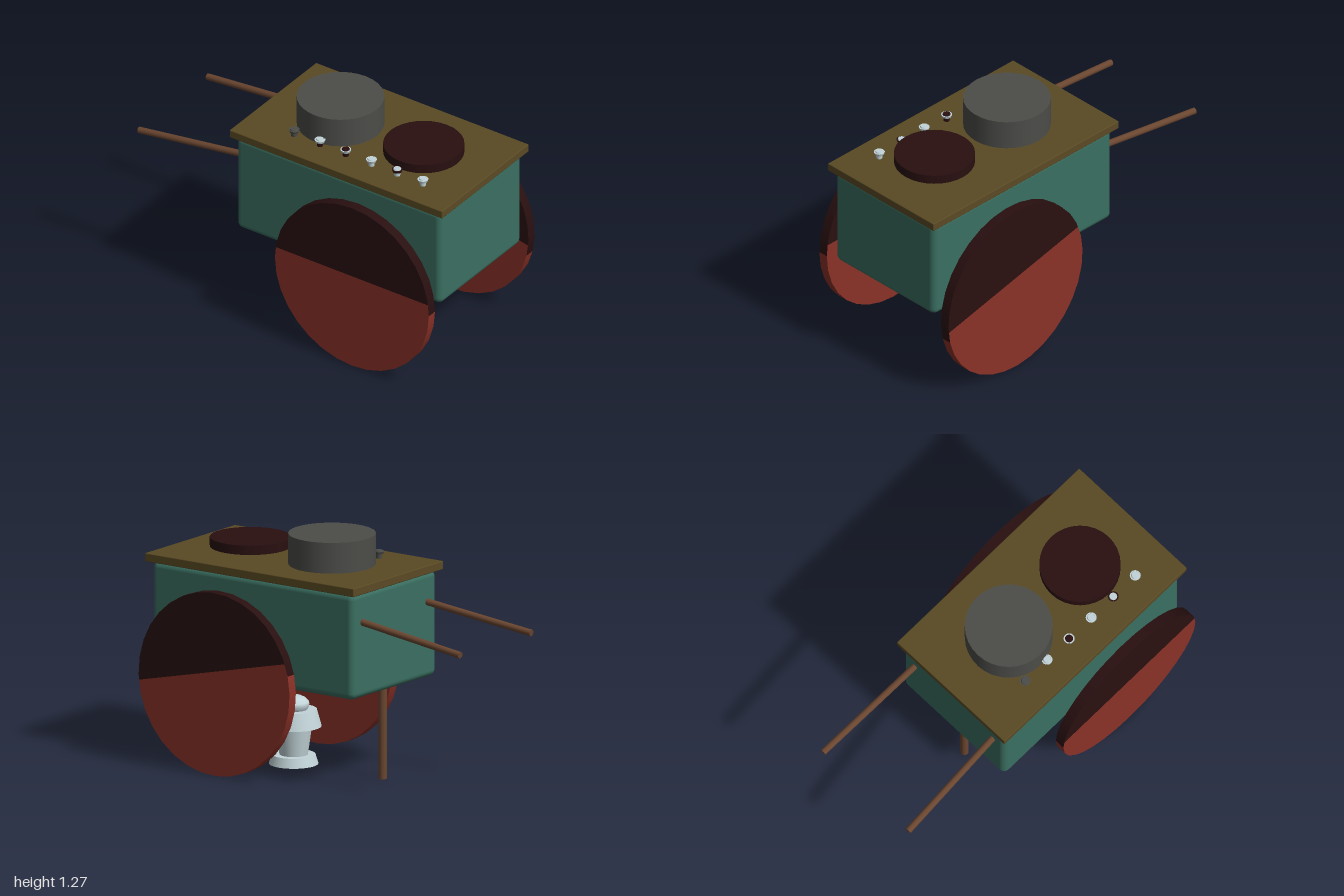
import * as THREE from 'three';
import { RoundedBoxGeometry } from 'three/addons/geometries/RoundedBoxGeometry.js';

const mat = (name, color) => {
  const m = new THREE.MeshStandardMaterial({ color });
  m.name = name;
  return m;
};

export function createModel() {
  const green = mat('green paint', 0x3a6f61);
  const board = mat('olive wood', 0x5a4a24);
  const red = mat('red paint', 0x8a3127);
  const dark = mat('dark maroon', 0x290f10);
  const wood = mat('brown wood', 0x6a4630);
  const iron = mat('iron grey', 0x4c4d49);
  const silver = mat('pale metal', 0xc2d4d8);

  const root = new THREE.Group();
  root.name = 'foodCart';

  const add = (name, geo, material, x = 0, y = 0, z = 0, parent = root) => {
    const mesh = new THREE.Mesh(geo, material);
    mesh.name = name;
    mesh.position.set(x, y, z);
    parent.add(mesh);
    return mesh;
  };
  // Upright cylinder or cone section from height y0 to y1
  const drum = (name, material, rTop, rBottom, y0, y1, x, z, parent = root, sides = 32) =>
    add(name, new THREE.CylinderGeometry(rTop, rBottom, y1 - y0, sides), material, x, (y0 + y1) / 2, z, parent);

  // Body and counter top
  add('body', new RoundedBoxGeometry(1.31, 0.57, 0.74, 4, 0.035), green, 0.315, 0.782, 0);
  add('counterTop', new RoundedBoxGeometry(1.36, 0.046, 0.79, 2, 0.005), board, 0.317, 1.087, 0);

  // Cooking pot and griddle plate
  drum('pot', iron, 0.23, 0.23, 1.11, 1.275, 0.07, 0);
  drum('griddle', dark, 0.213, 0.213, 1.13, 1.18, 0.602, 0);

  // Two-tone wheels: half rims plus caps split by a chord above the centre
  const R = 0.492, T = 0.056, N = 32, chord = 0.0665;
  const vertex = (i) => {
    const a = (i / N) * Math.PI * 2;
    return new THREE.Vector2(R * Math.cos(a), R * Math.sin(a));
  };
  const range = (a, b) => Array.from({ length: b - a + 1 }, (_, i) => vertex(a + i));
  const cut = vertex(0).lerp(vertex(1), chord / vertex(1).y);
  const cutMirror = new THREE.Vector2(-cut.x, cut.y);
  const upperCap = new THREE.ShapeGeometry(new THREE.Shape([cut, ...range(1, 15), cutMirror]));
  const lowerCap = new THREE.ShapeGeometry(new THREE.Shape([cutMirror, ...range(16, 32), cut]));
  const halfRim = (start) =>
    new THREE.CylinderGeometry(R, R, T, N / 2, 1, true, start, Math.PI).rotateX(Math.PI / 2);

  const makeWheel = (name, z, tilt) => {
    const wheel = new THREE.Group();
    wheel.name = name;
    add('upperRim', halfRim(Math.PI / 2), dark, 0, 0, 0, wheel);
    add('lowerRim', halfRim(-Math.PI / 2), red, 0, 0, 0, wheel);
    for (const side of [1, -1]) {
      for (const [part, geo, material] of [['upperFace', upperCap, dark], ['lowerFace', lowerCap, red]]) {
        const face = add(part, geo, material, 0, 0, side * T / 2, wheel);
        if (side < 0) face.rotation.y = Math.PI;
      }
    }
    wheel.position.set(0.481, 0.493, z);
    wheel.rotation.z = tilt;
    root.add(wheel);
  };
  makeWheel('frontWheel', 0.454, 0);
  makeWheel('backWheel', -0.454, -0.226);

  // Push handles, spreading outward
  for (const s of [1, -1]) {
    const a = new THREE.Vector3(-0.998, 0.828, s * 0.312);
    const b = new THREE.Vector3(-0.3, 0.912, s * 0.284);
    const dir = b.clone().sub(a);
    const handle = add(s > 0 ? 'frontHandle' : 'backHandle',
      new THREE.CylinderGeometry(0.018, 0.018, dir.length(), 16), wood);
    handle.position.copy(a).lerp(b, 0.5);
    handle.quaternion.setFromUnitVectors(new THREE.Vector3(0, 1, 0), dir.normalize());
  }

  // Support leg
  drum('leg', wood, 0.022, 0.022, 0, 0.52, -0.26, 0, root, 16);

  // Metal urn under the body
  const urn = new THREE.Group();
  urn.name = 'urn';
  urn.position.x = 0.32;
  root.add(urn);
  drum('urnFoot', silver, 0.115, 0.13, 0, 0.05, 0, 0, urn);
  drum('urnStem', silver, 0.097, 0.075, 0.05, 0.205, 0, 0, urn);
  drum('urnCollar', silver, 0.122, 0.147, 0.202, 0.292, 0, 0, urn);
  const dome = [[0.07, 0.29], [0.078, 0.302], [0.083, 0.32], [0.08, 0.333], [0.062, 0.352], [0.04, 0.363], [0, 0.366]];
  add('urnDome', new THREE.LatheGeometry(dome.map(([x, y]) => new THREE.Vector2(x, y)), 32), silver, 0, 0, 0, urn);

  // Row of knobs: stem, flared rim and cap colours
  const knobs = [
    [iron, iron, iron],
    [dark, silver, silver],
    [dark, silver, dark],
    [silver, silver, silver],
    [silver, dark, silver],
    [silver, silver, silver],
  ];
  knobs.forEach(([stem, rim, cap], i) => {
    const knob = new THREE.Group();
    knob.name = 'knob' + (i + 1);
    knob.position.set(-0.055 + i * 0.1645, 1.108, 0.243);
    root.add(knob);
    drum('knobStem', stem, 0.018, 0.016, 0, 0.028, 0, 0, knob, 16);
    drum('knobRim', rim, 0.029, 0.024, 0.026, 0.04, 0, 0, knob, 16);
    drum('knobCap', cap, 0.019, 0.022, 0.039, 0.046, 0, 0, knob, 16);
  });

  return root;
}
